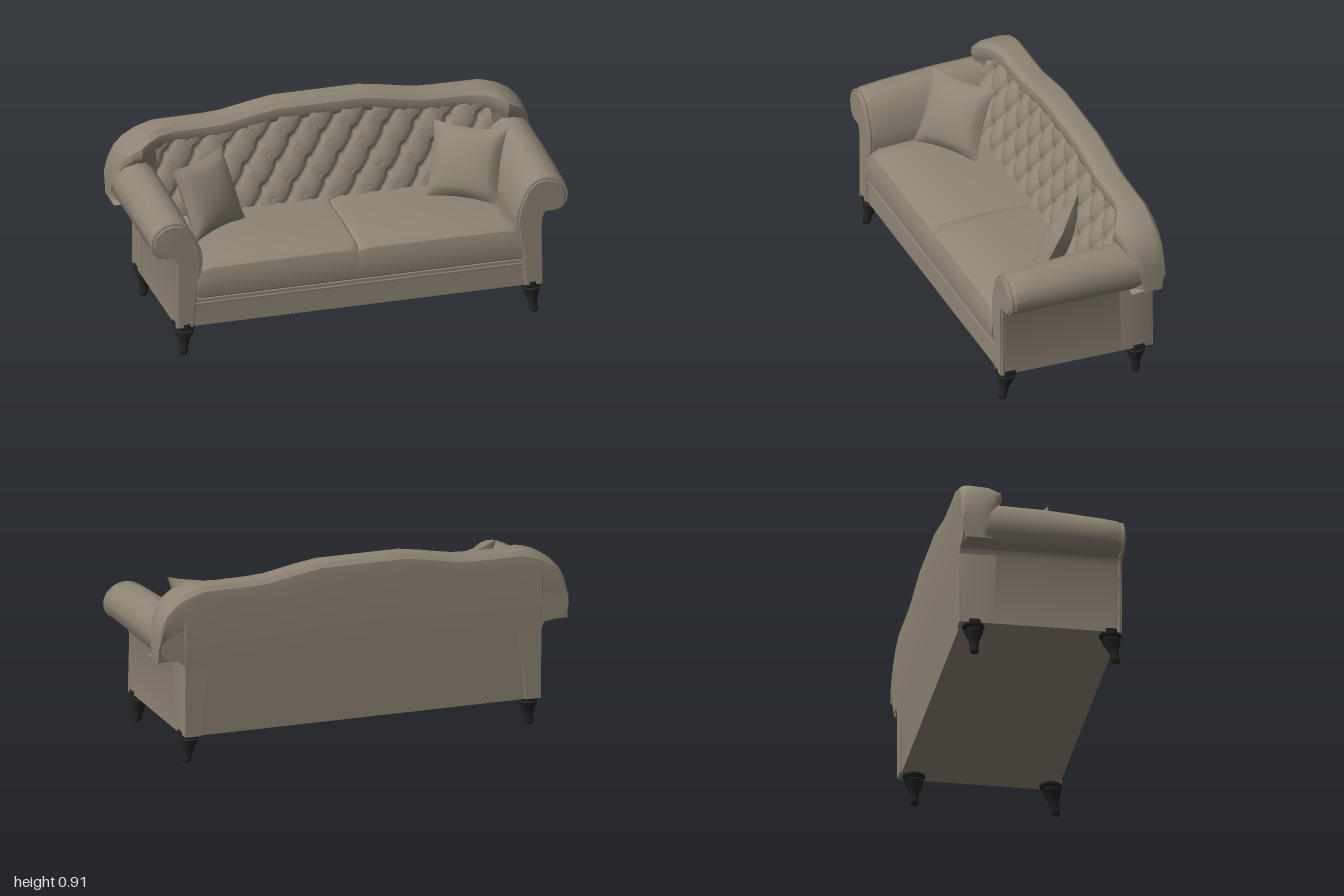
import * as THREE from 'three';
import { toCreasedNormals, mergeGeometries } from 'three/addons/utils/BufferGeometryUtils.js';

const fabric = new THREE.MeshStandardMaterial({ color: 0x8f8474 });
fabric.name = 'taupe fabric';
const wood = new THREE.MeshStandardMaterial({ color: 0x222222 });
wood.name = 'dark wood';

// Linear interpolation in a table of [position, value] pairs
function lookup(table, t) {
  if (t <= table[0][0]) return table[0][1];
  for (let i = 1; i < table.length; i++) {
    const [a, va] = table[i - 1], [b, vb] = table[i];
    if (t <= b) return va + (vb - va) * (t - a) / (b - a);
  }
  return table[table.length - 1][1];
}

// Closed solid through a list of rings of [x, y, z]; u and v are the cap plane axes
function loft(rings, u, v, crease = 0.6) {
  const n = rings[0].length, last = (rings.length - 1) * n;
  const points = rings.flat().map((p) => new THREE.Vector3(...p));
  const idx = [];
  for (let i = 0; i < rings.length - 1; i++) {
    for (let j = 0; j < n; j++) {
      const a = i * n + j, b = i * n + (j + 1) % n;
      idx.push(a, b, b + n, a, b + n, a + n);
    }
  }
  const cap = (ring) => THREE.ShapeUtils.triangulateShape(
    ring.map((p) => new THREE.Vector2(p[u], p[v])), []).map((f) => [...f].sort((a, b) => a - b));
  for (const [a, b, c] of cap(rings[0])) idx.push(c, b, a);
  for (const [a, b, c] of cap(rings[rings.length - 1])) idx.push(last + a, last + b, last + c);
  // Turn the faces outward when the volume comes out negative
  let volume = 0;
  for (let i = 0; i < idx.length; i += 3) {
    volume += points[idx[i]].dot(points[idx[i + 1]].clone().cross(points[idx[i + 2]]));
  }
  if (volume < 0) idx.reverse();
  const geo = new THREE.BufferGeometry().setFromPoints(points);
  geo.setIndex(idx);
  return toCreasedNormals(geo, crease);
}

function mesh(parent, name, geo, mat = fabric) {
  const m = new THREE.Mesh(geo, mat);
  m.name = name;
  parent.add(m);
  return m;
}

// Scrolled arm cross-section, from outer bottom round the roll to inner bottom
const armProfile = [[0.87, 0.14], [0.87, 0.47], [0.885, 0.505], [0.92, 0.51], [0.96, 0.515], [0.99, 0.55],
  [1.0, 0.61], [0.985, 0.66], [0.95, 0.7], [0.9, 0.72], [0.85, 0.71], [0.81, 0.67], [0.78, 0.6],
  [0.755, 0.52], [0.75, 0.45], [0.775, 0.3], [0.79, 0.14]];
const armRise = [[-0.38, 1.0], [-0.2, 1.0], [0, 0.97], [0.25, 0.87], [0.35, 0.81], [0.38, 0.72]];

function armRing(side, z, inset) {
  const s = lookup(armRise, z);
  return armProfile.map(([x, y]) => [
    side * (x + (0.85 - x) * inset), y > 0.5 ? 0.5 + (y - 0.5) * s : y, z]);
}

function arm(side) {
  const g = new THREE.Group();
  const stations = [[-0.375, 0.06], [-0.35, 0], [-0.2, 0], [0, 0], [0.15, 0], [0.25, 0], [0.345, 0],
    [0.37, 0.04], [0.38, 0.14]];
  mesh(g, 'armBody', loft(stations.map(([z, k]) => armRing(side, z, k)), 0, 1));
  // Piping round the front face
  const path = armRing(side, 0.368, 0.07).map((p) => new THREE.Vector3(...p));
  mesh(g, 'armPiping', new THREE.TubeGeometry(new THREE.CatmullRomCurve3(path), 60, 0.008, 6));
  return g;
}

// Camel-shaped crest: top height and front depth along x
const crest = [[0, 0.91], [0.2, 0.91], [0.3, 0.895], [0.46, 0.865], [0.55, 0.86], [0.78, 0.858], [0.86, 0.835],
  [0.92, 0.8], [0.96, 0.76], [0.985, 0.71], [1, 0.65]];
const crestFront = [[0, -0.25], [0.7, -0.25], [0.8, -0.22], [0.88, -0.175], [0.94, -0.2], [0.98, -0.23], [1, -0.26]];

function backRing(x) {
  const a = Math.abs(x), T = lookup(crest, a), f = lookup(crestFront, a), L = a > 0.872 ? 0.51 : 0.14;
  const under = Math.min(f - 0.025, -0.2);
  return [[-0.365, L], [-0.375, L + (T - L) * 0.45], [-0.385, T - 0.065], [-0.38, T - 0.025], [-0.36, T - 0.004],
    [-0.33, T], [Math.min(f - 0.03, -0.24), T - 0.006], [f - 0.005, T - 0.03], [f, T - 0.06], [f - 0.01, T - 0.09],
    [under, T - 0.115], [under, Math.max(L + 0.01, 0.46)], [-0.22, L]]
    .map(([z, y]) => [x, y, z]);
}

function back() {
  const half = [0.1, 0.2, 0.3, 0.38, 0.46, 0.55, 0.7, 0.78, 0.83, 0.87, 0.875, 0.92, 0.96, 0.985, 1];
  const xs = [...half.map((x) => -x).reverse(), 0, ...half];
  return loft(xs.map(backRing), 2, 1);
}

// Diamond-buttoned face: puffs between diagonal creases, dents at the crossings
function tufting() {
  const geo = new THREE.PlaneGeometry(1.6, 1, 128, 40);
  const pos = geo.attributes.position;
  for (let i = 0; i < pos.count; i++) {
    const x = pos.getX(i), v = pos.getY(i) + 0.5;
    const y = 0.43 + v * (lookup(crest, Math.abs(x)) - 0.07 - 0.43);
    const a = x / 0.15, b = (y - 0.53) / 0.1;
    const p = a + b / 2, q = a - b / 2;
    const puff = Math.pow(Math.abs(Math.sin(Math.PI * p) * Math.sin(Math.PI * q)), 0.45);
    const dp = p - Math.round(p), dq = q - Math.round(q);
    const dent = Math.exp(-(dp * dp + dq * dq) / 0.02);
    const corner = Math.max(0, Math.abs(x) - 0.66) * 0.1;
    pos.setXYZ(i, x, y, -0.135 - 0.135 * v + 0.028 * puff - 0.02 * dent + corner);
  }
  geo.computeVertexNormals();
  return geo;
}

// Long seat cushion with a shallow seam in the middle
function seat() {
  const profile = [[-0.16, 0.265], [0.35, 0.265], [0.38, 0.285], [0.385, 0.32], [0.383, 0.38], [0.37, 0.425],
    [0.33, 0.45], [0.1, 0.465], [-0.16, 0.46]];
  const half = [[0.012, 0.97], [0.06, 1], [0.4, 1], [0.7, 0.98], [0.75, 0.93], [0.775, 0.8]];
  const stations = [...half.map(([x, s]) => [-x, s]).reverse(), [0, 0.9], ...half];
  return loft(stations.map(([x, s]) => profile.map(([z, y]) => [x, 0.265 + (y - 0.265) * s, z])), 2, 1, 0.7);
}

// Square scatter pillow: two bulging sheets meeting in pulled-in edges
function pillowGeometry() {
  const sheet = () => {
    const geo = new THREE.PlaneGeometry(2, 2, 14, 14);
    const pos = geo.attributes.position;
    for (let i = 0; i < pos.count; i++) {
      const u = pos.getX(i), v = pos.getY(i);
      const bulge = Math.max(0, 1 - u * u) * Math.max(0, 1 - v * v);
      pos.setXYZ(i, 0.178 * u * (1 - 0.1 * (1 - v * v)), 0.178 * v * (1 - 0.1 * (1 - u * u)),
        0.065 * Math.pow(bulge, 0.45));
    }
    geo.computeVertexNormals();
    return geo;
  };
  return mergeGeometries([sheet(), sheet().rotateY(Math.PI)]);
}

// Turned leg whose foot sweeps sideways
function legGeometry(dx, dz) {
  const points = [[0, 0], [0.016, 0], [0.022, 0.012], [0.02, 0.035], [0.028, 0.07], [0.042, 0.1], [0.046, 0.112],
    [0.038, 0.12], [0.053, 0.13], [0.055, 0.155], [0, 0.155]].map((p) => new THREE.Vector2(...p));
  const geo = new THREE.LatheGeometry(points, 10);
  const pos = geo.attributes.position;
  for (let i = 0; i < pos.count; i++) {
    const k = Math.pow(Math.max(0, 1 - pos.getY(i) / 0.155), 1.3);
    pos.setX(i, pos.getX(i) + dx * k);
    pos.setZ(i, pos.getZ(i) + dz * k);
  }
  return toCreasedNormals(geo, 0.5);
}

export function createModel() {
  const sofa = new THREE.Group();
  sofa.name = 'sofa';

  mesh(sofa, 'base', new THREE.BoxGeometry(1.73, 0.13, 0.73)).position.set(0, 0.205, 0.005);
  const railPiping = mesh(sofa, 'railPiping', new THREE.CylinderGeometry(0.006, 0.006, 1.6, 6).rotateZ(Math.PI / 2));
  railPiping.position.set(0, 0.25, 0.37);
  mesh(sofa, 'back', back());
  mesh(sofa, 'tuftedBack', tufting());
  mesh(sofa, 'seatCushion', seat());

  for (const side of [1, -1]) {
    const label = side > 0 ? 'left' : 'right';
    const a = arm(side);
    a.name = label + 'Arm';
    sofa.add(a);

    const pillow = mesh(sofa, label + 'Pillow', pillowGeometry());
    pillow.rotation.set(-0.42, -side * 0.58, 0, 'YXZ');
    pillow.position.set(side * 0.615, 0.62, 0.01);

    mesh(sofa, label + 'FrontLeg', legGeometry(side * 0.012, 0.03), wood).position.set(side * 0.825, 0, 0.33);
    mesh(sofa, label + 'BackLeg', legGeometry(side * 0.012, 0.005), wood).position.set(side * 0.825, 0, -0.305);
  }
  return sofa;
}
